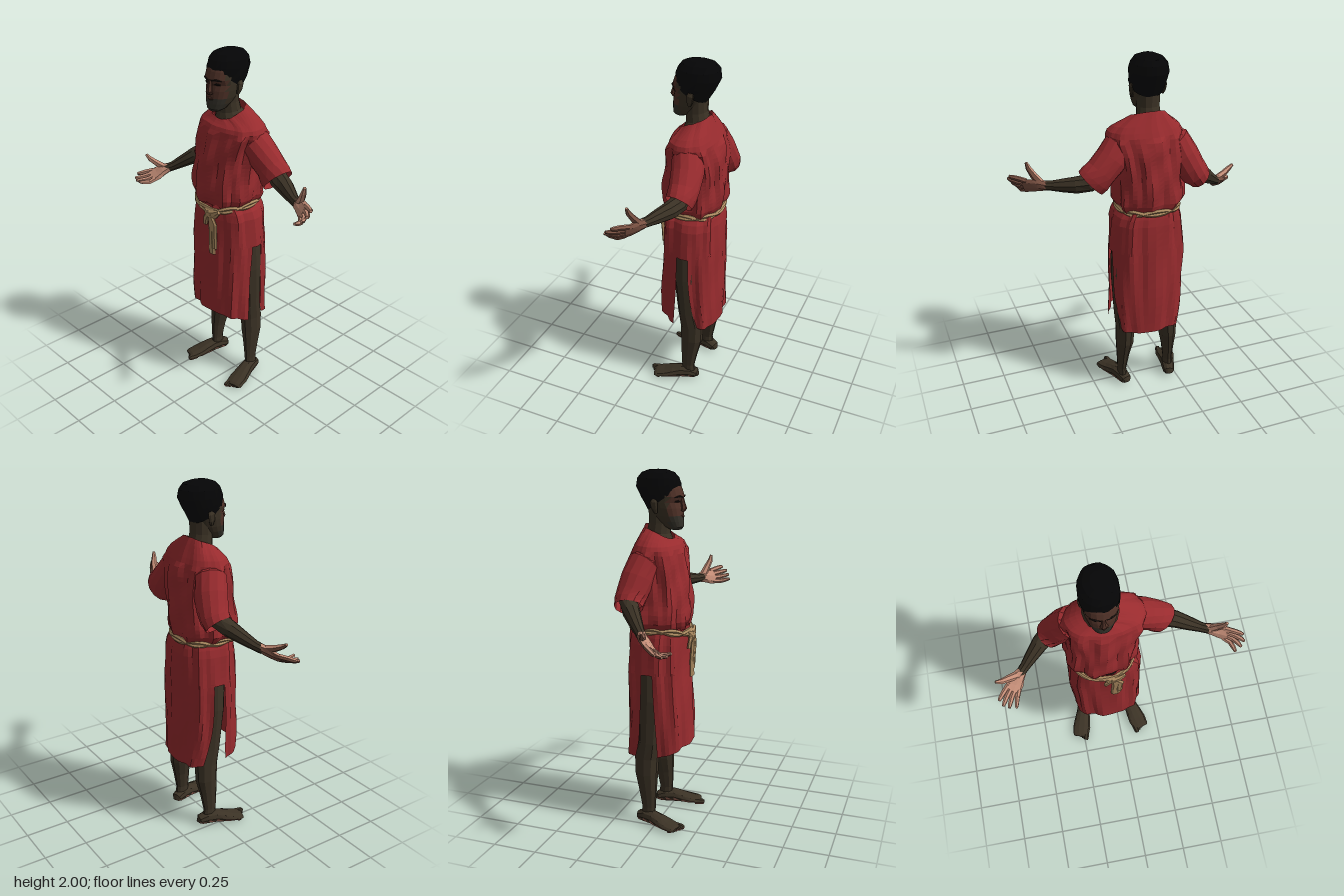
import * as THREE from 'three';

const mat = (name, color, side = THREE.FrontSide) => {
  const m = new THREE.MeshStandardMaterial({ color, side });
  m.name = name;
  return m;
};
const V = (x, y, z) => new THREE.Vector3(x, y, z);
const TAU = Math.PI * 2;

// Faceted surface over a grid of points f(i, j)
function sheet(nu, nv, f) {
  const pos = [];
  const tri = (...p) => {
    const n = p[1].clone().sub(p[0]).cross(p[2].clone().sub(p[0]));
    if (n.length() > 1e-9) p.forEach(q => pos.push(q.x, q.y, q.z));
  };
  for (let j = 0; j < nv; j++) for (let i = 0; i < nu; i++) {
    const a = f(i, j), b = f(i + 1, j), c = f(i, j + 1), d = f(i + 1, j + 1);
    tri(a, c, b);
    tri(b, c, d);
  }
  const g = new THREE.BufferGeometry();
  g.setAttribute('position', new THREE.Float32BufferAttribute(pos, 3));
  g.computeVertexNormals();
  return g;
}

// Limb through [x, y, z, a, b] stations; a is the half width along ref, b across it
function limb(pts, { ref = [1, 0, 0], n = 8, caps = true } = {}) {
  const P = pts.map(p => V(p[0], p[1], p[2]));
  const rings = pts.map((p, k) => {
    const T = P[Math.min(k + 1, P.length - 1)].clone().sub(P[Math.max(k - 1, 0)]).normalize();
    const N = V(...ref);
    N.addScaledVector(T, -N.dot(T)).normalize();
    const B = N.clone().cross(T);
    return i => P[k].clone().addScaledVector(N, p[3] * Math.cos(i / n * TAU))
      .addScaledVector(B, (p[4] ?? p[3]) * Math.sin(i / n * TAU));
  });
  if (caps) {
    rings.unshift(() => P[0].clone());
    rings.push(() => P[P.length - 1].clone());
  }
  return sheet(n, rings.length - 1, (i, j) => rings[j](i % n));
}

// Sort triangles into material groups by face normal and centre
function paint(g, count, pick) {
  const p = g.attributes.position, bins = Array.from({ length: count }, () => []);
  for (let t = 0; t < p.count; t += 3) {
    const v = [0, 1, 2].map(k => V().fromBufferAttribute(p, t + k));
    const n = v[1].clone().sub(v[0]).cross(v[2].clone().sub(v[0])).normalize();
    bins[pick(n, v[0].clone().add(v[1]).add(v[2]).divideScalar(3))].push(...v.flatMap(q => q.toArray()));
  }
  g.setAttribute('position', new THREE.Float32BufferAttribute(bins.flat(), 3));
  g.computeVertexNormals();
  let start = 0;
  bins.forEach((b, k) => { g.addGroup(start, b.length / 3, k); start += b.length / 3; });
  return g;
}

// Horizontal oval sections [y, centreX, halfX, frontZ, backZ], listed bottom to top
function section(table, y) {
  let k = 0;
  while (k < table.length - 2 && y > table[k + 1][0]) k++;
  const t = THREE.MathUtils.clamp((y - table[k][0]) / (table[k + 1][0] - table[k][0]), 0, 1);
  return table[k].map((a, m) => a + (table[k + 1][m] - a) * t);
}
const bulge = (v, e) => Math.sign(v) * Math.abs(v) ** e;
function oval([y, cx, hx, zf, zb], th, extra = 0, e = 0.85) {
  return V(cx + (hx + extra) * bulge(Math.cos(th), e), y,
    (zf + zb) / 2 + ((zf - zb) / 2 + extra) * bulge(Math.sin(th), e));
}
const fold = (th, y) => 0.006 * Math.sin(8 * th + 5 * y) + 0.004 * Math.sin(13 * th - 9 * y)
  + 0.003 * Math.sin(5 * th + 31 * y);

const TORSO = [[1.15, -.085, .165, .135, -.165], [1.19, -.09, .2, .148, -.183], [1.24, -.09, .2, .15, -.187],
  [1.3, -.085, .193, .146, -.188], [1.4, -.078, .19, .135, -.186], [1.5, -.07, .205, .12, -.18],
  [1.56, -.062, .215, .105, -.167], [1.6, -.058, .21, .09, -.15], [1.64, -.06, .165, .068, -.125],
  [1.68, -.08, .092, .052, -.1]];
const SKIRT = [[.4, -.07, .2, .162, -.187], [.6, -.073, .209, .155, -.187], [.9, -.075, .212, .137, -.182],
  [1.1, -.075, .197, .135, -.177], [1.16, -.085, .165, .132, -.163]];
const HEAD = [[1.685, -.085, .03, .1, .04], [1.7, -.085, .05, .112, .01], [1.73, -.085, .066, .112, -.03],
  [1.76, -.085, .077, .11, -.055], [1.8, -.085, .086, .106, -.075], [1.83, -.085, .09, .098, -.09],
  [1.86, -.085, .091, .113, -.1], [1.9, -.085, .09, .1, -.11], [1.95, -.085, .08, .075, -.11]];
const HAIR = [[1.835, -.085, .094, .092, -.078], [1.875, -.085, .1, .094, -.12], [1.915, -.085, .102, .094, -.148],
  [1.955, -.085, .095, .084, -.143], [1.983, -.085, .072, .06, -.12], [1.997, -.085, .038, .02, -.08],
  [2, -.085, 0, -.03, -.03]];

export function createModel() {
  const model = new THREE.Group();
  const cloth = mat('red cloth', 0x982b2e, THREE.DoubleSide);
  const skin = mat('dark skin', 0x3b3225);
  const face = mat('face brown', 0x4f3127);
  const beard = mat('beard', 0x35322a);
  const hair = mat('black hair', 0x050506);
  const palm = mat('palm pink', 0xc48d77);
  const handBack = mat('hand brown', 0x7a5142);
  const sole = mat('sole brown', 0x935f50);
  const rope = mat('rope tan', 0xab8a60);
  const dark = mat('near black', 0x17110f);
  const add = (name, g, m, parent = model) => {
    const mesh = new THREE.Mesh(g, m);
    mesh.name = name;
    parent.add(mesh);
    return mesh;
  };

  // Tunic body, with the collar scooped in front and higher at the back
  const NT = 44;
  add('tunicBody', sheet(NT, 22, (i, j) => {
    const th = (i % NT) / NT * TAU, y = 1.15 + .53 * j / 22;
    const p = oval(section(TORSO, y), th, fold(th, y) * (y > 1.56 ? .4 : 1.3));
    if (y > 1.6) p.y -= (y - 1.6) / .08 * (Math.sin(th) > 0 ? .045 : .03) * Math.sin(th);
    return p;
  }), cloth);

  // Skirt: closed top, then front and back panels parted by side slits
  const skirtAt = (th, y) => oval(section(SKIRT, y), th, fold(th, y * .5), .75);
  add('skirtTop', sheet(NT, 6, (i, j) => skirtAt((i % NT) / NT * TAU, .91 + .25 * j / 6)), cloth);
  const panel = (name, edge, hem, mid) => add(name, sheet(22, 9, (i, j) => {
    const t = 1 - j / 9, a = edge(t), u = i / 22;
    const th = mid + (u * 2 - 1) * (Math.PI / 2 - a);
    return skirtAt(th, .925 - t * (.925 - hem(u)));
  }), cloth);
  panel('skirtFront', t => .08 + .06 * t, u => .43 + .045 * Math.sin(u * Math.PI), Math.PI / 2);
  panel('skirtBack', t => .16 + .34 * t ** 3, u => .415 - .012 * Math.sin(u * Math.PI), -Math.PI / 2);

  // Dark undergarment between the thighs
  add('undergarment', limb([[-.067, .52, -.03, .1, .06], [-.067, .7, -.03, .1, .07], [-.07, .95, -.03, .12, .09]],
    { n: 10 }), dark);

  // Rope belt of two strands, flat knot and hanging ends
  for (const k of [0, 1]) {
    const pts = Array.from({ length: 28 }, (_, i) => {
      const th = i / 28 * TAU;
      const p = oval([1.154, -.085, .17, .14, -.168], th, .004);
      p.y += (k ? .01 : -.01) * Math.cos(th * 4) - .03 * Math.max(0, Math.sin(th)) ** 3;
      return p;
    });
    add('belt', new THREE.TubeGeometry(new THREE.CatmullRomCurve3(pts, true), 56, .012, 5, true).toNonIndexed(), rope)
      .geometry.computeVertexNormals();
  }
  add('beltKnot', limb([[-.1, 1.125, .145, .01, .01], [-.075, 1.11, .15, .024, .014], [-.045, 1.1, .153, .03, .017],
    [-.01, 1.115, .15, .024, .014], [.015, 1.135, .145, .012, .01]], { ref: [0, 1, 0], n: 7 }), rope);
  for (const e of [
    [[-.045, 1.11, .156, .018], [-.035, 1.03, .155, .024], [-.042, .95, .151, .02], [-.035, .86, .15, .028]],
    [[-.04, 1.11, .158, .014], [-.012, 1.05, .156, .024], [-.015, .97, .152, .018], [-.015, .9, .149, .018]],
    [[-.05, 1.12, .156, .014], [-.082, 1.07, .154, .02], [-.09, 1.03, .149, .013]]])
    add('beltEnd', limb(e.map(p => [...p, .011]), { n: 6 }), rope);

  // Sleeves and forearms
  const sleeves = {
    left: [[.04, 1.535, -.04, .06, .06], [.098, 1.515, -.05, .088, .088], [.138, 1.462, -.062, .09, .088],
      [.2, 1.4, -.07, .087, .082], [.232, 1.365, -.068, .096, .08], [.257, 1.342, -.064, .095, .075]],
    right: [[-.18, 1.535, -.04, .06, .06], [-.228, 1.515, -.06, .088, .088], [-.266, 1.44, -.08, .09, .09],
      [-.305, 1.37, -.095, .084, .085], [-.335, 1.33, -.1, .079, .082], [-.363, 1.302, -.095, .07, .078]] };
  const arms = {
    left: [[.2, 1.41, -.07, .05], [.27, 1.345, -.065, .052], [.33, 1.335, -.045, .047], [.4, 1.328, -.008, .037],
      [.45, 1.324, .018, .028], [.495, 1.324, .04, .026]],
    right: [[-.31, 1.4, -.085, .05], [-.36, 1.325, -.095, .05], [-.41, 1.29, -.06, .047], [-.47, 1.245, -.01, .036],
      [-.51, 1.215, .025, .028], [-.545, 1.195, .055, .026]] };
  for (const s of ['left', 'right']) {
    add(s + 'Sleeve', limb(sleeves[s], { n: 13, caps: false }), cloth);
    add(s + 'Arm', limb(arms[s], { ref: [0, 1, 0], n: 9 }), skin);
  }

  // Open hands: local x along the fingers, y across, z out of the palm
  const hand = (name, wrist, f, n, side) => {
    const g = new THREE.Group();
    g.name = name;
    const F = V(...f).normalize(), N = V(...n);
    N.addScaledVector(F, -N.dot(F)).normalize();
    g.quaternion.setFromRotationMatrix(new THREE.Matrix4().makeBasis(F, N.clone().cross(F), N));
    g.position.set(...wrist);
    const part = (label, pts, sides) => add(label,
      paint(limb(pts.map(p => [p[0], p[1] * side, ...p.slice(2)]), { ref: [.01, 1, 0], n: sides }), 2,
        q => q.z > -.25 ? 0 : 1), [palm, handBack], g);
    part('palm', [[-.015, 0, 0, .027, .025], [.03, .005, 0, .04, .025], [.07, 0, 0, .047, .02],
      [.11, -.003, .003, .045, .016]], 8);
    [.085, .1, .092, .07].forEach((len, k) => {
      const y = .033 - .022 * k, curl = .008 * k;
      part('finger', [[.09, y, .002, .0145], [.1 + len * .45, y * 1.25, .014, .014],
        [.1 + len * .8, y * 1.35, .02 + curl, .0125], [.1 + len, y * 1.4, .026 + curl * 1.8, .008]], 6);
    });
    part('thumb', [[.02, .018, .006, .022], [.05, .055, .022, .019], [.075, .09, .042, .015],
      [.085, .12, .055, .008]], 6);
    model.add(g);
  };
  hand('leftHand', [.488, 1.322, .035], [.88, -.03, .42], [-.28, .38, .8], 1);
  hand('rightHand', [-.538, 1.198, .052], [-.54, -.44, .58], [.12, .7, .7], -1);

  // Legs and bare feet
  const legPts = [[.082, .035, -.05, .028, .042], [.082, .1, -.045, .025, .04], [.078, .2, -.052, .036, .052],
    [.07, .3, -.062, .052, .066], [.066, .4, -.062, .056, .07], [.068, .5, -.045, .06, .066],
    [.068, .75, -.032, .071, .08], [.05, 1, -.03, .08, .09]];
  const footPts = [[-.05, .016, .02, .016], [-.042, .03, .034, .03], [0, .04, .04, .04], [.05, .04, .043, .04],
    [.1, .032, .051, .032], [.15, .023, .057, .023], [.2, .017, .052, .017], [.215, .014, .044, .011]];
  for (const s of [1, -1]) {
    const label = s > 0 ? 'left' : 'right', mx = x => s > 0 ? x : -.134 - x;
    add(label + 'Leg', limb(legPts.map(p => [mx(p[0]), ...p.slice(1)]), { n: 10 }), skin);
    const foot = new THREE.Group();
    foot.name = label + 'Foot';
    foot.position.set(mx(.082), 0, s > 0 ? -.05 : -.062);
    foot.rotation.y = s * .27;
    const two = g => paint(g, 2, (q, c) => q.y < -.2 && c.y < .025 ? 1 : 0);
    add('footBody', two(limb(footPts.map(([z, y, a, b]) => [0, y, z, a, b]), { n: 10 })), [skin, sole], foot);
    for (let k = 0; k < 5; k++) {
      const x = -s * (.037 - .019 * k), r = k ? .0115 : .016, z = .236 - .009 * k;
      add('toe', two(limb([[x, r, .18, r], [x, r, z - .01, r], [x, r * .8, z, r * .7]], { n: 6 })), [skin, sole], foot);
    }
    model.add(foot);
  }

  // Neck and head
  add('neck', limb([[-.082, 1.6, -.04, .1, .085], [-.082, 1.645, -.03, .085, .078], [-.085, 1.67, -.027, .068, .065],
    [-.085, 1.72, -.02, .063, .06], [-.085, 1.8, -.02, .066, .062]], { n: 12 }), skin);
  add('head', paint(sheet(20, HEAD.length, (i, j) => j ? oval(HEAD[j - 1], (i % 20) / 20 * TAU, 0, .92)
    : V(-.085, 1.685, .07)), 3, (q, c) => c.z < .055 ? 0 : c.y > 1.765 ? 1 : 2), [skin, face, beard]);
  add('nose', limb([[-.085, 1.785, .108, .022, .012], [-.085, 1.797, .115, .021, .016],
    [-.085, 1.825, .108, .011, .014], [-.085, 1.86, .102, .01, .01]], { n: 6 }), face);
  add('mouth', limb([[-.115, 1.757, .1, .004], [-.085, 1.758, .11, .009], [-.055, 1.757, .1, .004]],
    { ref: [0, 1, 0], n: 6 }), face);
  for (const s of [1, -1]) {
    const x = d => -.085 + s * d;
    add('eye', limb([[x(.022), 1.836, .097, .003], [x(.038), 1.837, .094, .007], [x(.056), 1.836, .084, .003]],
      { ref: [0, 1, 0], n: 6 }), dark);
    add('eyebrow', limb([[x(.014), 1.857, .11, .004], [x(.04), 1.862, .104, .006], [x(.066), 1.857, .087, .003]],
      { ref: [0, 1, 0], n: 5 }), dark);
    add('ear', limb([[x(.086), 1.775, -.012, .006, .01], [x(.093), 1.8, -.016, .009, .018],
      [x(.097), 1.832, -.02, .008, .022], [x(.093), 1.848, -.022, .005, .014]], { n: 7 }), skin);
  }

  // Cropped hair, hairline high in front and low at the nape
  add('hair', sheet(24, HAIR.length - 1, (i, j) => {
    const th = (i % 24) / 24 * TAU, s = Math.sin(th);
    const p = oval(HAIR[j], th, j < 5 ? .002 * Math.sin(8 * th + j * 2) : 0, .95);
    p.y += ([1, .45, .1][j] ?? 0) * (s > 0 ? .062 : .055) * s;
    return p;
  }), hair);

  return model;
}
